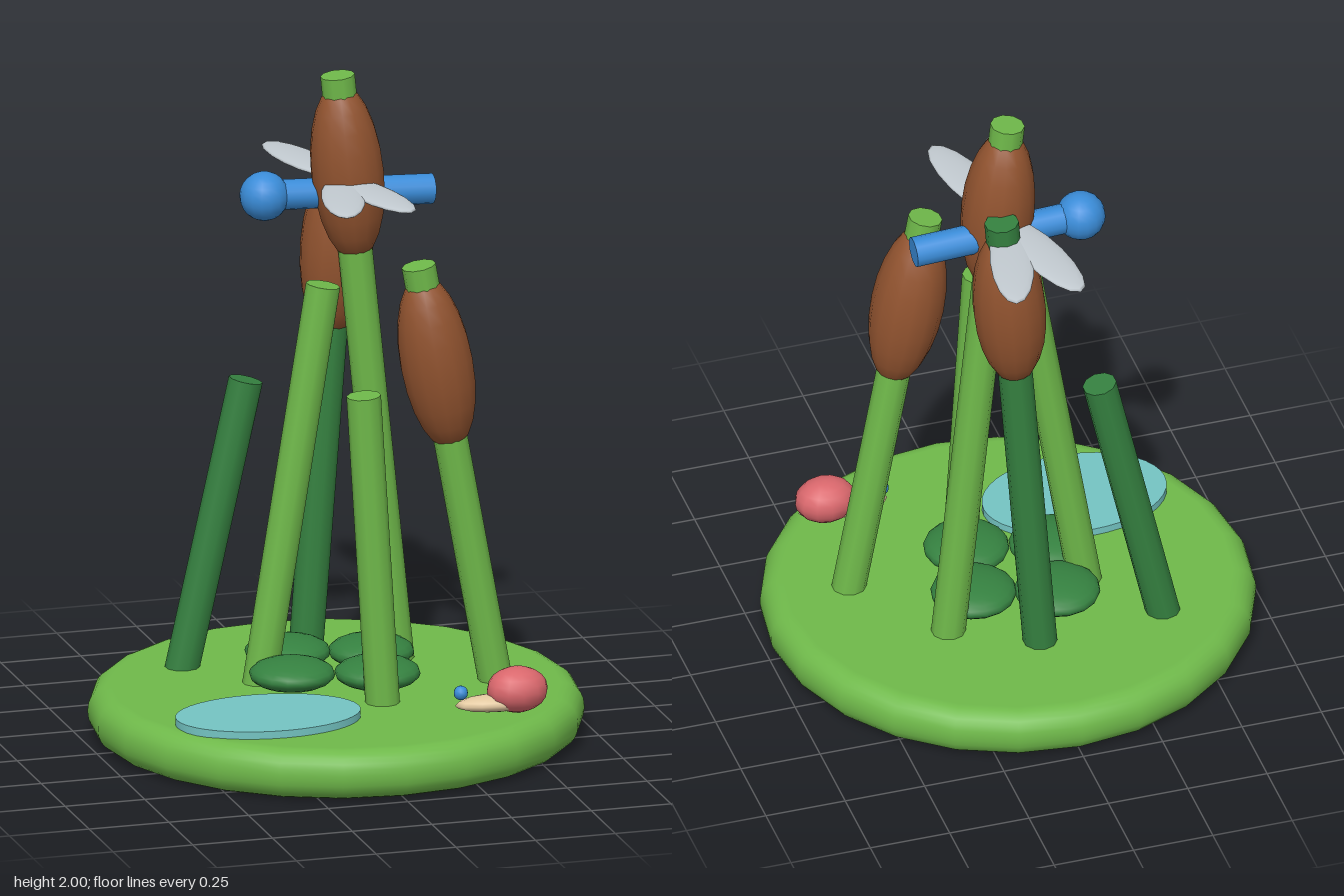
import * as THREE from 'three';

const paint = (name, color) => {
  const m = new THREE.MeshStandardMaterial({ color });
  m.name = name;
  return m;
};

export function createModel() {
  const model = new THREE.Group();
  model.name = 'pondScene';
  const lightGreen = paint('lightGreen', 0x6fb94a);
  const darkGreen = paint('darkGreen', 0x358140);
  const brown = paint('brown', 0x91532f);
  const blue = paint('blue', 0x3a8cd8);
  const wingGrey = paint('wingGrey', 0xc2cad0);
  const water = paint('water', 0x74c4c2);
  const shellRed = paint('shellRed', 0xd9676c);
  const beige = paint('beige', 0xe2c8a0);

  const add = (parent, name, geometry, material, x = 0, y = 0, z = 0) => {
    const mesh = new THREE.Mesh(geometry, material);
    mesh.name = name;
    mesh.position.set(x, y, z);
    parent.add(mesh);
    return mesh;
  };
  const ellipsoid = (rx, ry, rz, w = 16, h = 12) =>
    new THREE.SphereGeometry(1, w, h).scale(rx, ry, rz);

  // Round grassy base with rolled edges
  const R = 0.746, H = 0.155, c = 0.07;
  const profile = [new THREE.Vector2(0, 0)];
  for (let i = 0; i <= 6; i++) {
    const a = -Math.PI / 2 + (i / 6) * (Math.PI / 2);
    profile.push(new THREE.Vector2(R - c + c * Math.cos(a), c + c * Math.sin(a)));
  }
  for (let i = 0; i <= 6; i++) {
    const a = (i / 6) * (Math.PI / 2);
    profile.push(new THREE.Vector2(R - c + c * Math.cos(a), H - c + c * Math.sin(a)));
  }
  profile.push(new THREE.Vector2(0, H));
  add(model, 'grassBase', new THREE.LatheGeometry(profile, 24), lightGreen);

  // Pond
  add(model, 'pond', new THREE.CylinderGeometry(1, 1, 0.03, 40).scale(0.285, 1, 0.195),
    water, -0.305, 0.163, 0.305);

  // Leaning reeds: foot x, top x, top y, z, colour, height of the seed head's centre
  const reeds = [
    [0.258, 0.07, 1.995, -0.217, lightGreen, 1.69],
    [0.008, 0.13, 1.735, -0.347, darkGreen, 1.42],
    [0.475, 0.232, 1.472, 0.09, lightGreen, 1.165],
    [0.08, 0.02, 1.12, 0.222, lightGreen],
    [-0.216, -0.015, 1.383, -0.085, lightGreen],
    [-0.392, -0.19, 1.037, -0.31, darkGreen],
  ];
  const footY = 0.14;
  for (const [footX, topX, topY, z, color, headY] of reeds) {
    const reed = new THREE.Group();
    reed.name = headY ? 'cattail' : 'reed';
    const dx = topX - footX, dy = topY - footY, len = Math.hypot(dx, dy);
    reed.position.set(footX, footY, z);
    reed.rotation.z = -Math.atan2(dx, dy);
    add(reed, 'stem', new THREE.CylinderGeometry(0.052, 0.052, len, 10), color, 0, len / 2, 0);
    if (headY) {
      add(reed, 'seedHead', ellipsoid(0.111, 0.278, 0.111, 14, 12), brown,
        0, (headY - footY) * len / dy, 0);
    }
    model.add(reed);
  }

  // Lily pads
  for (const [x, z] of [[-0.15, 0.04], [0.1, 0.1], [0.148, -0.125], [-0.095, -0.19]]) {
    add(model, 'lilyPad', ellipsoid(0.13, 0.047, 0.13), darkGreen, x, 0.212, z);
  }

  // Dragonfly
  const fly = new THREE.Group();
  fly.name = 'dragonfly';
  fly.position.set(0, 0, -0.243);
  model.add(fly);
  const body = add(fly, 'body', new THREE.CylinderGeometry(0.046, 0.046, 0.525, 14), blue, 0.112, 1.618, 0);
  body.rotation.z = Math.PI / 2 - 0.045;
  add(fly, 'head', ellipsoid(0.075, 0.075, 0.075), blue, -0.152, 1.628, 0);
  for (const sx of [-1, 1]) {
    for (const sz of [-1, 1]) {
      const wing = add(fly, 'wing', ellipsoid(0.066, 0.014, 0.217, 16, 10), wingGrey,
        0.082 + sx * 0.05, 1.667, sz * 0.212);
      wing.rotation.y = sx * sz * 0.24;
    }
  }

  // Snail
  const snail = new THREE.Group();
  snail.name = 'snail';
  snail.position.set(0.437, 0, 0.437);
  model.add(snail);
  add(snail, 'shell', ellipsoid(0.095, 0.07, 0.077, 12, 10), shellRed, 0, 0.226, 0);
  add(snail, 'body', ellipsoid(0.14, 0.027, 0.05, 12, 8), beige, -0.055, 0.19, 0);
  add(snail, 'eye', ellipsoid(0.022, 0.022, 0.022, 10, 8), blue, -0.177, 0.229, 0);

  return model;
}
